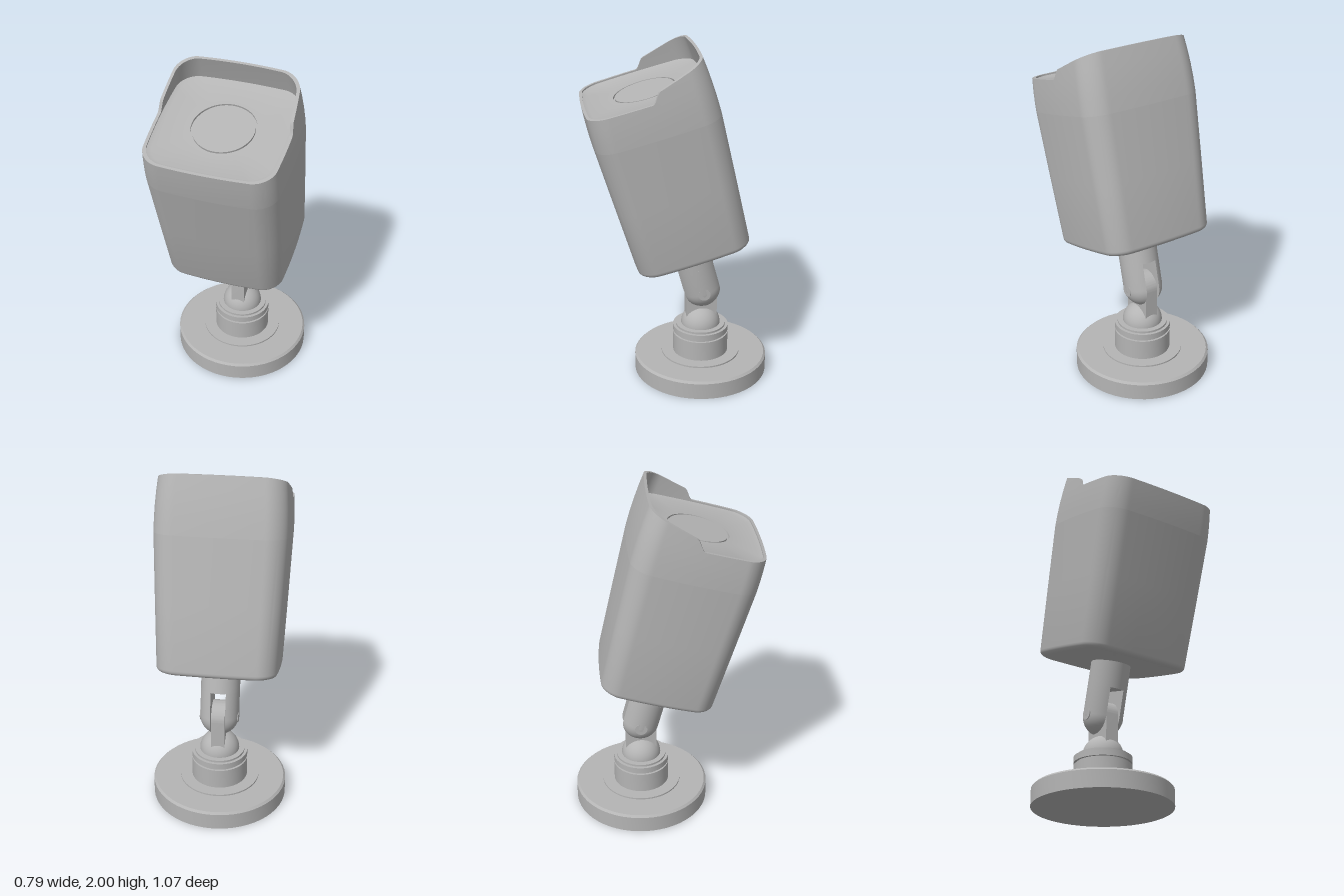
import * as THREE from 'three';
import { toCreasedNormals } from 'three/addons/utils/BufferGeometryUtils.js';

const grey = new THREE.MeshStandardMaterial({ color: 0xb4b4b4 });
grey.name = 'satin grey';

function add(parent, name, geometry) {
  const mesh = new THREE.Mesh(geometry, grey);
  mesh.name = name;
  parent.add(mesh);
  return mesh;
}

function lathe(profile, segments = 56) {
  const points = profile.map(([r, y]) => new THREE.Vector2(r, y));
  return toCreasedNormals(new THREE.LatheGeometry(points, segments), 0.5);
}

// Unit rounded square with gently bulging sides, used for every housing section
function unitSection() {
  const r = 0.3, c = 1 - r, s = new THREE.Shape();
  s.moveTo(1, 0);
  s.lineTo(1, c);
  s.absarc(c, c, r, 0, Math.PI / 2);
  s.absarc(-c, c, r, Math.PI / 2, Math.PI);
  s.absarc(-c, -c, r, Math.PI, Math.PI * 1.5);
  s.absarc(c, -c, r, Math.PI * 1.5, Math.PI * 2);
  s.lineTo(1, 0);
  return s.getSpacedPoints(240).map(p => [
    p.x * (1 - 0.05 * p.y * p.y), p.y * (1 - 0.05 * p.x * p.x)]);
}
const section = unitSection();

// Skin a list of rows; each row maps a section point to a position
function skin(rows) {
  const n = section.length, pos = [], index = [];
  rows.forEach((row, j) => section.forEach((p, i) => {
    pos.push(...row(p));
    if (j && i < n - 1) {
      const a = (j - 1) * n + i, b = a + n;
      index.push(a, b, a + 1, a + 1, b, b + 1);
    }
  }));
  const g = new THREE.BufferGeometry();
  g.setAttribute('position', new THREE.Float32BufferAttribute(pos, 3));
  g.setIndex(index);
  return toCreasedNormals(g, 0.5);
}

const WIDE = 1.044;
// Row at a fixed height with half depth d
const flat = (d, y) => ([x, z]) => [x * d * WIDE, y, z * d];
// Circular row
const round = (r, y) => ([x, z]) => {
  const l = Math.hypot(x, z);
  return [x / l * r, y, z / l * r];
};

// Rim height: level at the front, a soft step, then a rising hood at the back
function rimHeight(z) {
  const d = -z * 0.35;
  return 1.291 + 0.06 * THREE.MathUtils.smoothstep(d, 0.005, 0.065)
    + 0.275 * Math.max(0, d - 0.065);
}
const depthAt = y => 0.362 - 0.021 * ((y - 1.1) / 0.327) ** 2;
// Row a fraction t of the way from base height to the rim, inset by the wall
const toRim = (t, base, inset = 0) => ([x, z]) => {
  const y = base + (rimHeight(z) - base) * t, d = depthAt(y) - inset;
  return [x * d * WIDE, y, z * d];
};

function buildHousing(parent) {
  const housing = new THREE.Group();
  housing.name = 'housing';
  parent.add(housing);

  // Underside, rounded lower edge and tapered wall
  const lower = [flat(0, 0.311), flat(0.305, 0.311)];
  for (let i = 1; i <= 5; i++) {
    const a = i / 5 * Math.PI / 2;
    lower.push(flat(0.305 + 0.03 * Math.sin(a), 0.341 - 0.03 * Math.cos(a)));
  }
  lower.push(flat(0.349, 0.72), flat(0.362, 1.1));
  add(housing, 'lowerShell', skin(lower));

  // Upper wall with hood, its rim and its inner face
  add(housing, 'upperShell', skin([0, 0.25, 0.5, 0.75, 1].map(t => toRim(t, 1.1))));
  add(housing, 'hoodRim', skin([toRim(1, 1.1), toRim(1, 1.1, 0.016)]));
  add(housing, 'hoodInside', skin([1, 0.5, 0].map(t => toRim(t, 1.282, 0.016))));

  // Recessed face with sloping border and a round groove
  const edge = depthAt(1.282) - 0.016;
  add(housing, 'facePanel', skin([
    flat(edge, 1.282), flat(edge - 0.022, 1.272), round(0.176, 1.272),
    round(0.176, 1.26), round(0.167, 1.26), round(0.167, 1.272), round(0, 1.272)]));
}

// One fork cheek: a round-ended rod cut flat beside the slot
function cheekGeometry(radius, gap, top) {
  const pts = [];
  for (let i = 0; i <= 14; i++) {
    const a = i / 14 * Math.PI / 2;
    pts.push(new THREE.Vector2(radius * Math.sin(a), -radius * Math.cos(a)));
  }
  pts.push(new THREE.Vector2(radius, top), new THREE.Vector2(0, top));
  const g = new THREE.LatheGeometry(pts, 64), p = g.attributes.position;
  for (let i = 0; i < p.count; i++) {
    const x = p.getX(i), z = p.getZ(i);
    if (x >= gap) continue;
    const limit = Math.sqrt(Math.max(0, x * x + z * z - gap * gap));
    p.setX(i, gap);
    p.setZ(i, THREE.MathUtils.clamp(z, -limit, limit));
  }
  return toCreasedNormals(g, 0.5);
}

function buildArm(parent) {
  const arm = new THREE.Group();
  arm.name = 'forkArm';
  parent.add(arm);
  const rod = new THREE.CylinderGeometry(0.114, 0.114, 0.17, 48);
  add(arm, 'armRod', rod).position.y = 0.245;
  const cheek = cheekGeometry(0.114, 0.044, 0.16);
  add(arm, 'leftCheek', cheek);
  add(arm, 'rightCheek', cheek).rotation.y = Math.PI;
  const pin = new THREE.CylinderGeometry(0.036, 0.036, 0.226, 28);
  add(arm, 'hingePin', pin).rotation.z = Math.PI / 2;
}

function buildStand(parent) {
  // Wall disc, collar and neck
  add(parent, 'base', lathe([
    [0, 0], [0.397, 0], [0.397, 0.098], [0.385, 0.11], [0.235, 0.11], [0.235, 0.119],
    [0.165, 0.119], [0.165, 0.24], [0.152, 0.24], [0.152, 0.252], [0.165, 0.252],
    [0.165, 0.288], [0.148, 0.288], [0.148, 0.3], [0, 0.3]]));
  // Swivel ball
  add(parent, 'swivelBall', new THREE.SphereGeometry(0.117, 40, 24)).position.y = 0.296;
  // Round-topped hinge blade
  const s = new THREE.Shape(), r = 0.092;
  s.moveTo(-r, 0.32);
  s.lineTo(r, 0.32);
  s.lineTo(r, 0.525);
  s.absarc(0, 0.525, r, 0, Math.PI);
  const g = new THREE.ExtrudeGeometry(s, { depth: 0.08, bevelEnabled: false, curveSegments: 20 });
  g.translate(0, 0, -0.04).rotateY(Math.PI / 2);
  add(parent, 'hingeBlade', toCreasedNormals(g, 0.5));
}

export function createModel() {
  const model = new THREE.Group();
  model.name = 'camera';
  const stand = new THREE.Group();
  stand.name = 'stand';
  stand.position.z = -0.137;
  buildStand(stand);
  model.add(stand);

  // Everything above the hinge leans forward
  const head = new THREE.Group();
  head.name = 'head';
  head.position.set(0, 0.53, -0.14);
  head.rotation.x = THREE.MathUtils.degToRad(15);
  buildHousing(head);
  buildArm(head);
  model.add(head);
  return model;
}
